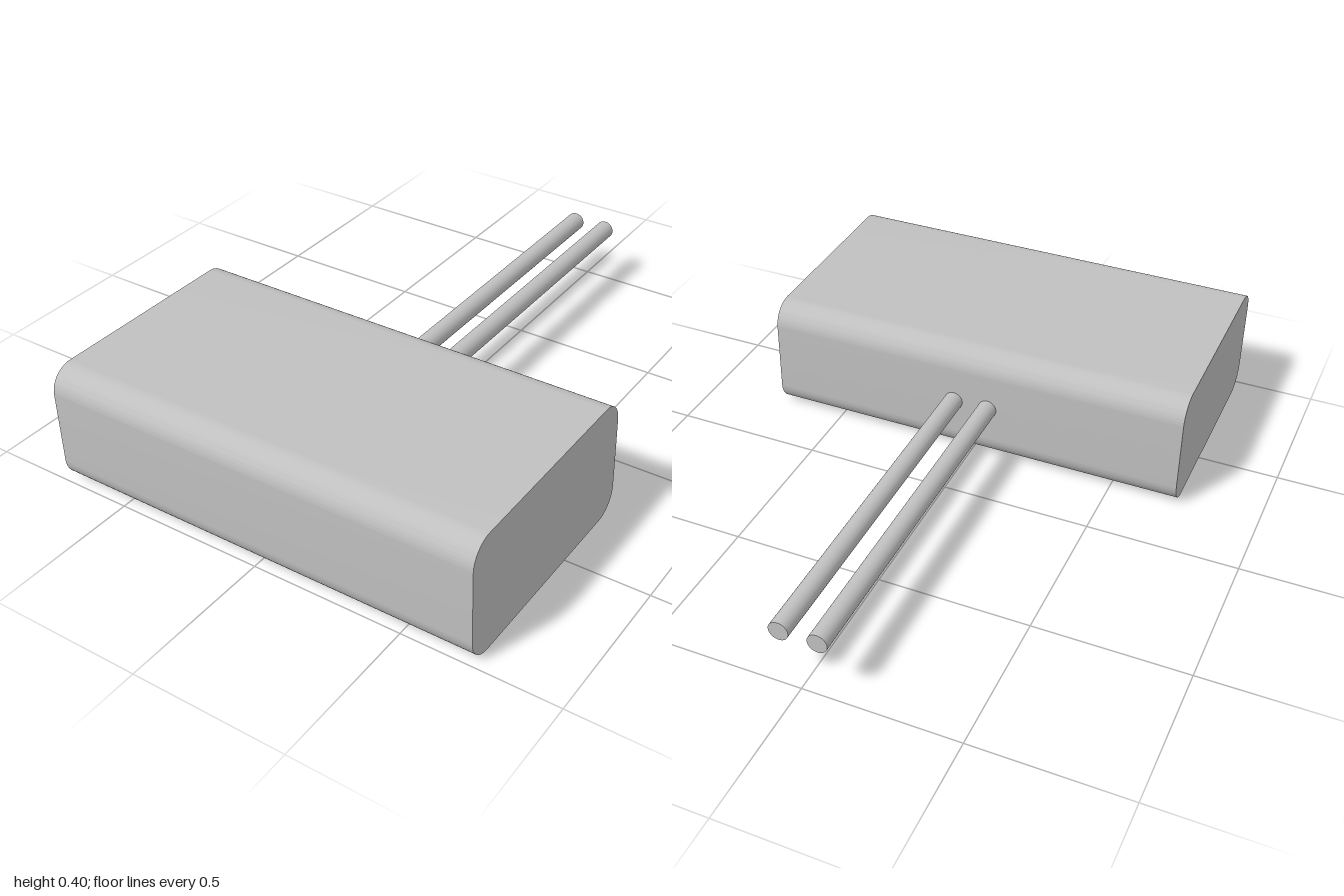
import * as THREE from 'three';
import { toCreasedNormals } from 'three/addons/utils/BufferGeometryUtils.js';

const WIDTH = 1.456, HEIGHT = 0.4, BACK = 0.21, FRONT = 1, RADIUS = 0.08;
const ROD_RADIUS = 0.032, ROD_X = 0.061;

// Rounded rectangle in the side plane, where shape x stands for -z
function bodyProfile() {
  const a = -FRONT, b = -BACK, r = RADIUS, h = HEIGHT;
  const s = new THREE.Shape();
  s.absarc(b - r, r, r, -Math.PI / 2, 0);
  s.absarc(b - r, h - r, r, 0, Math.PI / 2);
  s.absarc(a + r, h - r, r, Math.PI / 2, Math.PI);
  s.absarc(a + r, r, r, Math.PI, Math.PI * 1.5);
  s.closePath();
  return s;
}

export function createModel() {
  const group = new THREE.Group();
  group.name = 'blockWithTwoLeads';
  const grey = new THREE.MeshStandardMaterial({ color: 0xc0c0c0 });
  grey.name = 'lightGrey';

  // Body: rounded along its length, with flat ends
  const bodyGeometry = new THREE.ExtrudeGeometry(bodyProfile(), {
    depth: WIDTH, bevelEnabled: false, curveSegments: 12,
  });
  bodyGeometry.translate(0, 0, -WIDTH / 2).rotateY(Math.PI / 2);
  const body = new THREE.Mesh(toCreasedNormals(bodyGeometry, 0.6), grey);
  body.name = 'body';
  group.add(body);

  // Pair of straight round leads out of the back
  const length = BACK + 1;
  const rodGeometry = new THREE.CylinderGeometry(ROD_RADIUS, ROD_RADIUS, length, 32);
  rodGeometry.rotateX(Math.PI / 2);
  for (const side of [1, -1]) {
    const rod = new THREE.Mesh(rodGeometry, grey);
    rod.name = side > 0 ? 'leftLead' : 'rightLead';
    rod.position.set(side * ROD_X, HEIGHT / 2, -1 + length / 2);
    group.add(rod);
  }
  return group;
}
